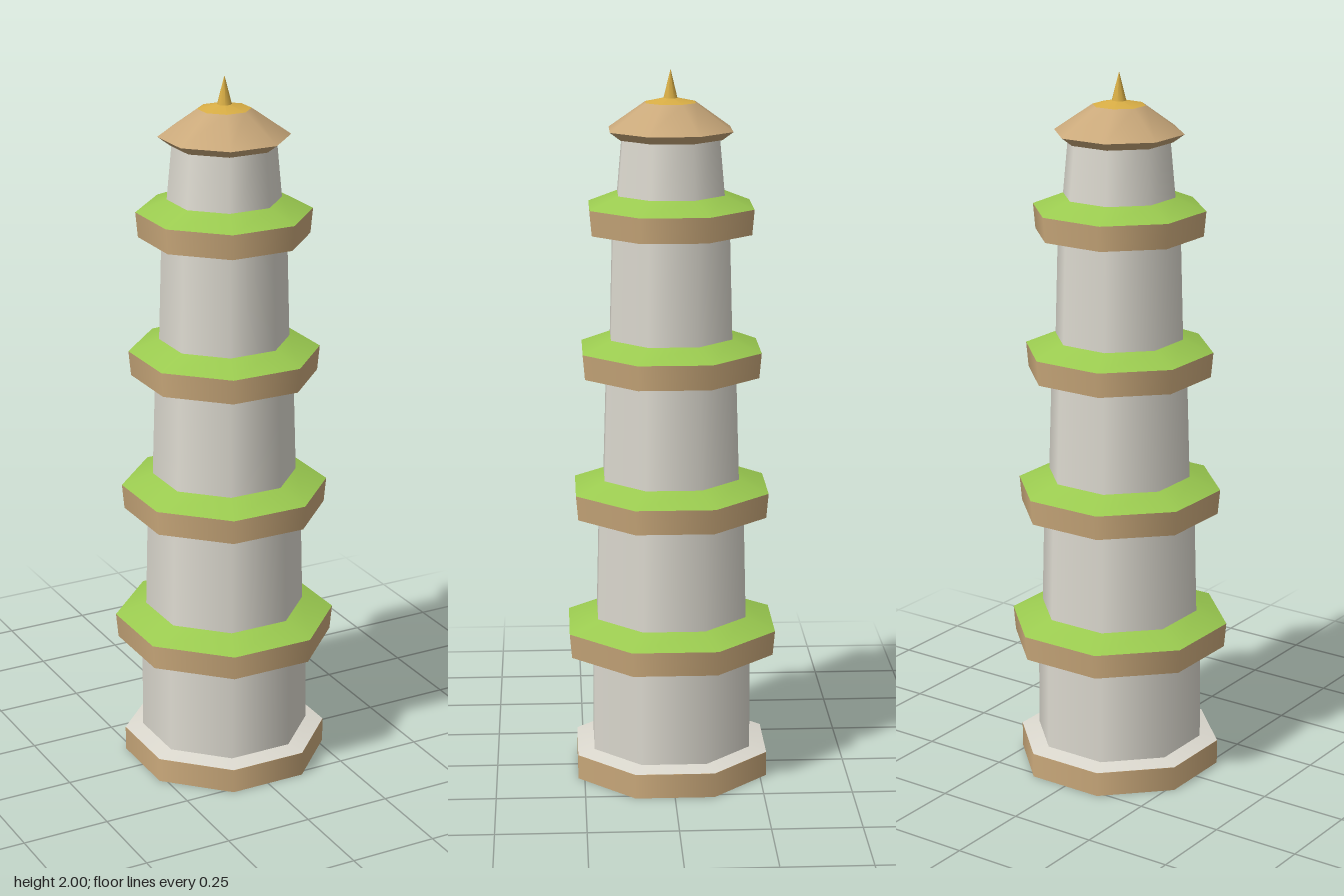
import * as THREE from 'three';

const mat = (name, color, side = THREE.FrontSide) => {
  const m = new THREE.MeshStandardMaterial({ color, side });
  m.name = name;
  return m;
};

export function createModel() {
  const tan = mat('tan wood', 0xcaa97b);
  const white = mat('plaster', 0xdcd9cf);
  const lime = mat('lime roof', 0x9bcb50);
  const green = mat('dark green', 0x2f8a3c);
  const gold = mat('gold', 0xd9ae45);
  green.side = THREE.BackSide; // inner walls face the axis

  const model = new THREE.Group();
  model.name = 'tower';
  const R = 1 / Math.cos(Math.PI / 8); // flat-to-flat half width -> corner radius

  // octagonal frustum with flat sides towards the axes
  const frustum = (name, parent, material, wBottom, wTop, y0, y1, open = true) => {
    const g = new THREE.CylinderGeometry(wTop * R, wBottom * R, y1 - y0, 8, 1, open, Math.PI / 8);
    const m = new THREE.Mesh(g, material);
    m.name = name;
    m.position.y = (y0 + y1) / 2;
    parent.add(m);
    return m;
  };

  // flat octagonal ring facing down
  const soffit = (name, parent, wIn, wOut, y) => {
    const g = new THREE.RingGeometry(wIn * R, wOut * R, 8, 1, Math.PI / 8);
    const m = new THREE.Mesh(g, tan);
    m.name = name;
    m.rotation.x = Math.PI / 2;
    m.position.y = y;
    parent.add(m);
  };

  // plinth
  frustum('plinth', model, tan, 0.268, 0.268, 0, 0.07, false);
  frustum('plinthTop', model, white, 0.268, 0.215, 0.0705, 0.082);

  // tower storeys: [bottom y, top y, bottom half width, top half width]
  const storeys = [
    [0.07, 0.45, 0.221, 0.219],
    [0.44, 0.85, 0.209, 0.199],
    [0.84, 1.245, 0.188, 0.176],
    [1.235, 1.645, 0.168, 0.157],
    [1.63, 1.85, 0.148, 0.129],
  ];
  storeys.forEach(([y0, y1, w0, w1], i) =>
    frustum('storey' + (i + 1), model, white, w0, w1, y0, y1));

  // eaves between storeys: [bottom y, outer half width, inner top half width]
  const eaves = [
    [0.365, 0.289, 0.205],
    [0.765, 0.268, 0.185],
    [1.163, 0.246, 0.165],
    [1.56, 0.224, 0.145],
  ];
  eaves.forEach(([y, w, wIn], i) => {
    const eave = new THREE.Group();
    eave.name = 'eave' + (i + 1);
    frustum('band', eave, tan, w - 0.006, w, y, y + 0.07);
    frustum('innerWall', eave, green, w - 0.008, w - 0.006, y, y + 0.045);
    soffit('bandEdge', eave, w - 0.008, w - 0.006, y);
    soffit('soffit', eave, wIn - 0.03, w - 0.006, y + 0.045);
    frustum('slope', eave, lime, w, wIn, y + 0.07, y + 0.104);
    model.add(eave);
  });

  // top roof with flared rim, gold cap and spire
  const roof = new THREE.Group();
  roof.name = 'roof';
  soffit('roofSoffit', roof, 0.1, 0.138, 1.815);
  frustum('roofRim', roof, tan, 0.138, 0.167, 1.815, 1.838);
  frustum('roofSlope', roof, tan, 0.167, 0.068, 1.838, 1.912);
  frustum('roofCap', roof, gold, 0.068, 0.001, 1.912, 1.928);
  frustum('spire', roof, gold, 0.019, 0.0005, 1.922, 2.0);
  model.add(roof);

  return model;
}
